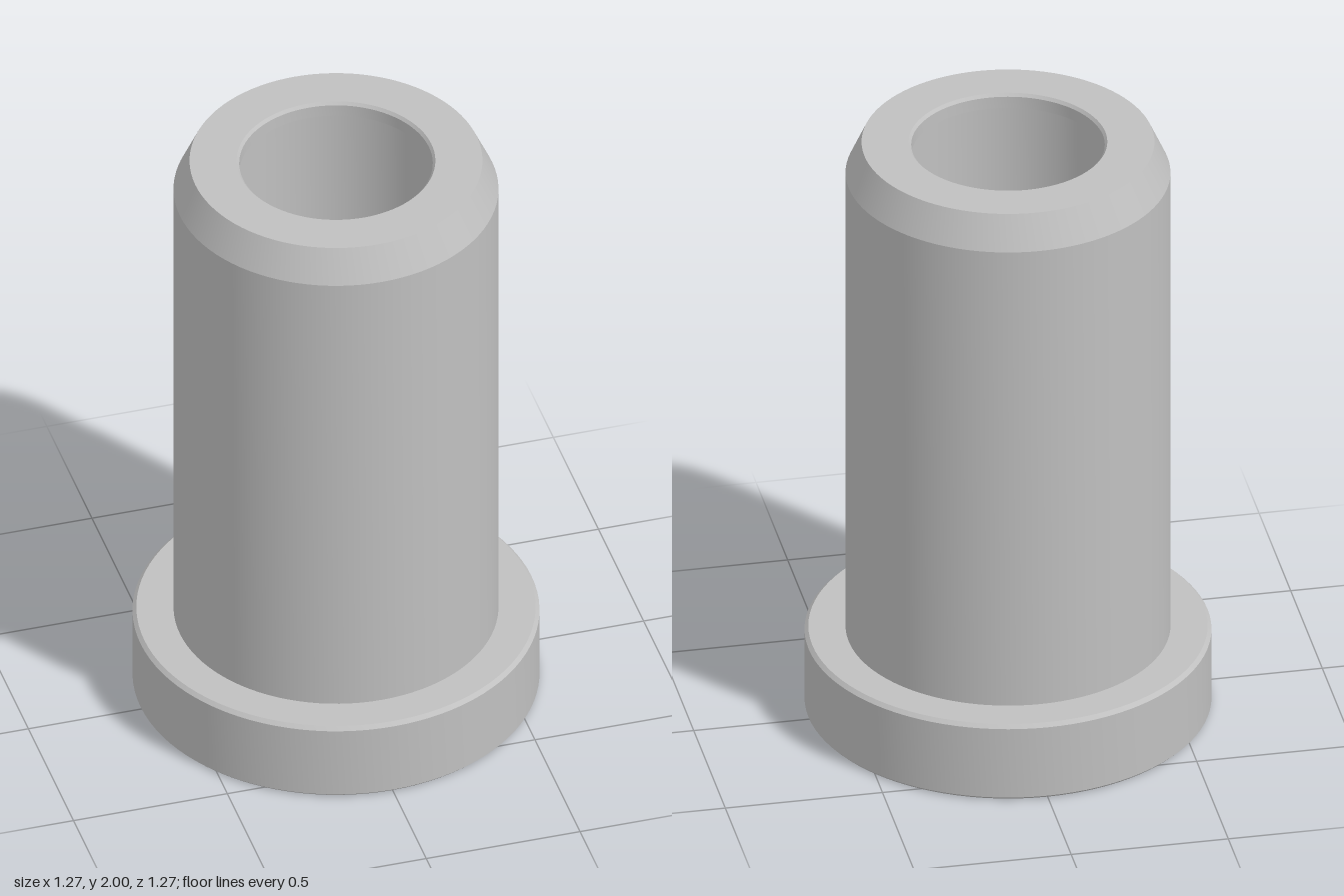
import * as THREE from 'three';
import { toCreasedNormals } from 'three/addons/utils/BufferGeometryUtils.js';

const SIDES = 96;

export function createModel() {
  const group = new THREE.Group();
  group.name = 'flangedBushing';
  const grey = new THREE.MeshStandardMaterial({ color: 0xc0c0c0 });
  grey.name = 'plain grey';

  // Revolve a [radius, height] profile, keeping its corners sharp
  function turned(name, profile) {
    const points = profile.map(([r, y]) => new THREE.Vector2(r, y));
    const geometry = toCreasedNormals(new THREE.LatheGeometry(points, SIDES), 0.4);
    const mesh = new THREE.Mesh(geometry, grey);
    mesh.name = name;
    group.add(mesh);
  }

  const flangeR = 0.635, bodyR = 0.507, topR = 0.457, boreR = 0.345, lipR = 0.302;
  const flangeY = 0.265, chamferY = 1.89, lipY = 1.95;

  // Wide foot with slightly eased edges
  turned('flange', [
    [boreR, 0], [flangeR - 0.008, 0], [flangeR, 0.008],
    [flangeR, flangeY - 0.012], [flangeR - 0.012, flangeY], [bodyR, flangeY],
  ]);
  // Straight sleeve with a chamfered shoulder
  turned('sleeve', [[bodyR, flangeY], [bodyR, chamferY], [topR, 2]]);
  // Flat top and the narrow lip overhanging the bore
  turned('topLip', [[topR, 2], [lipR + 0.008, 2], [lipR, 1.99], [lipR, lipY], [boreR, lipY]]);
  // Through bore, facing inward
  turned('bore', [[boreR, lipY], [boreR, 0]]);

  return group;
}
